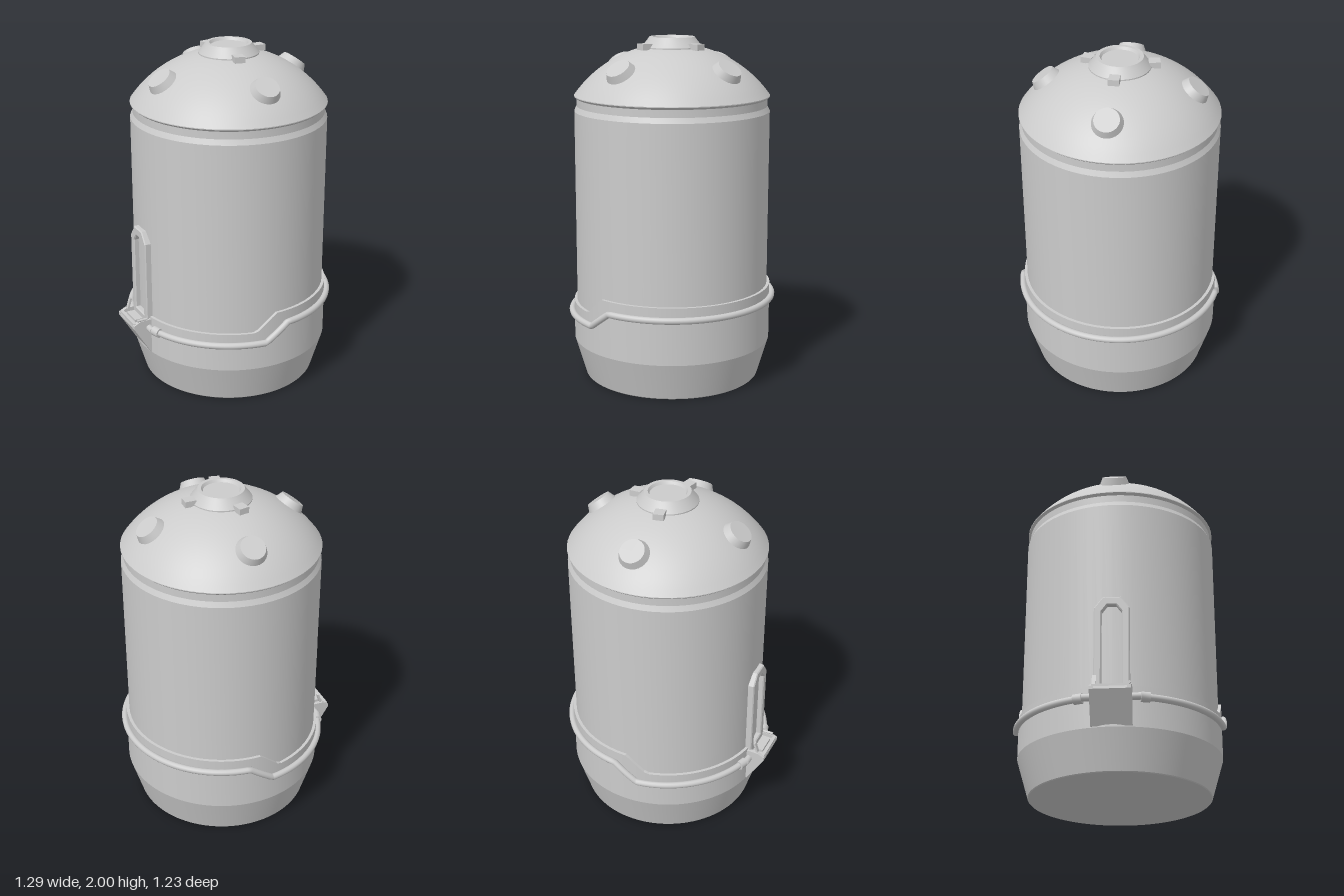
import * as THREE from 'three';
import { toCreasedNormals } from 'three/addons/utils/BufferGeometryUtils.js';

const CX = 0.035; // the tank axis sits slightly off centre, the latch box balances it
const mat = new THREE.MeshStandardMaterial({ color: 0xcccccc, side: THREE.DoubleSide });
const v2 = (p) => new THREE.Vector2(p[0], p[1]);
const ramp = (x, x0, x1, y0, y1) => THREE.MathUtils.mapLinear(THREE.MathUtils.clamp(x, x0, x1), x0, x1, y0, y1);

function add(parent, name, geometry, x = 0, y = 0, z = 0) {
  const mesh = new THREE.Mesh(geometry, mat);
  mesh.name = name;
  mesh.position.set(x, y, z);
  parent.add(mesh);
  return mesh;
}
const lathe = (points, sides = 64) => new THREE.LatheGeometry(points.map(v2), sides);
const crease = (g, angle = 0.3) => toCreasedNormals(g, angle);

// Extrudes an outline drawn in x, y, centred along z
function slab(points, depth, hole, bevel = 0) {
  const shape = new THREE.Shape(points.map(v2));
  if (hole) shape.holes.push(new THREE.Path(hole.map(v2)));
  const g = new THREE.ExtrudeGeometry(shape, {
    depth, bevelEnabled: bevel > 0, bevelSize: bevel, bevelThickness: bevel, bevelSegments: 1,
  });
  return g.translate(0, 0, -depth / 2);
}

export function createModel() {
  const model = new THREE.Group();
  model.name = 'tank';
  const tank = new THREE.Group();
  tank.name = 'tankBody';
  tank.position.x = CX;
  model.add(tank);

  // Base shell: the upper edge steps down towards the latch side
  const base = lathe([[0, 0], [0.512, 0], [0.517, 0.005], [0.582, 0.225], [0.582, 0.56], [0.562, 0.56]], 128);
  const p = base.attributes.position;
  for (let i = 0; i < p.count; i++) {
    if (p.getY(i) > 0.5) p.setY(i, ramp(p.getX(i) + CX, -0.09, 0.03, 0.455, 0.56));
  }
  add(tank, 'baseShell', crease(base, 0.25));

  // Main cylinder with a necked-in top
  add(tank, 'cylinder', crease(lathe([[0.565, 0.3], [0.565, 1.58], [0.551, 1.61], [0.551, 1.66]])));

  // Dome: a shallow spherical cap
  const R = 0.695, domeY = 1.265;
  const dome = [[0.545, 1.648], [0.565, 1.665]];
  for (let i = 0; i <= 16; i++) {
    const a = 0.949 * (1 - i / 16);
    dome.push([R * Math.sin(a), domeY + R * Math.cos(a)]);
  }
  add(tank, 'dome', crease(lathe(dome), 0.35));

  // Top cap with a recessed centre
  add(tank, 'topCap', crease(lathe([
    [0.172, 1.925], [0.172, 1.945], [0.137, 1.99], [0.13, 2], [0.11, 2], [0.1, 1.985], [0, 1.985],
  ], 40), 0.4));

  // Clips around the cap
  [0, 102, -102].forEach((deg) => {
    const a = THREE.MathUtils.degToRad(deg);
    const clip = add(tank, 'capClip', new THREE.BoxGeometry(0.065, 0.035, 0.06),
      0.188 * Math.cos(a), 1.95, -0.188 * Math.sin(a));
    clip.rotation.y = a;
  });

  // Four plugs standing along the dome normal
  const tilt = Math.asin(0.415 / R);
  for (let i = 0; i < 4; i++) {
    const holder = new THREE.Group();
    holder.name = 'domePlug';
    holder.rotation.y = i * Math.PI / 2;
    tank.add(holder);
    const plug = add(holder, 'plug', crease(new THREE.CylinderGeometry(0.07, 0.091, 0.05, 28), 0.5),
      (R + 0.01) * Math.sin(tilt), domeY + (R + 0.01) * Math.cos(tilt), 0);
    plug.rotation.z = -tilt;
  }

  // Pipe hugging the base, following its step, open at the latch
  const gap = 0.27;
  class PipeCurve extends THREE.Curve {
    getPoint(t, out = new THREE.Vector3()) {
      const a = Math.PI + gap + t * (Math.PI * 2 - gap * 2);
      const x = 0.594 * Math.cos(a);
      return out.set(x, ramp(x + CX, -0.04, 0.1, 0.39, 0.49), 0.594 * Math.sin(a));
    }
  }
  const pipe = new PipeCurve();
  add(tank, 'pipe', new THREE.TubeGeometry(pipe, 160, 0.019, 12));

  // Sleeves on both pipe ends
  [0.006, 0.994].forEach((t) => {
    const c = pipe.getPoint(t);
    const sleeve = add(tank, 'pipeSleeve', crease(new THREE.CylinderGeometry(0.028, 0.028, 0.05, 16), 0.6), c.x, c.y, c.z);
    sleeve.quaternion.setFromUnitVectors(new THREE.Vector3(0, 1, 0), pipe.getTangent(t));
  });

  // Latch box on the side: core, cheeks, top frame
  const latch = new THREE.Group();
  latch.name = 'latchBox';
  model.add(latch);
  const core = [[-0.5, 0.23], [-0.542, 0.23], [-0.645, 0.4], [-0.643, 0.415], [-0.5, 0.42]];
  add(latch, 'latchCore', slab(core, 0.18));
  const cheek = [[-0.5, 0.23], [-0.542, 0.23], [-0.645, 0.4], [-0.645, 0.42], [-0.605, 0.44], [-0.5, 0.445]];
  [-1, 1].forEach((s) => {
    add(latch, 'latchCheek', slab(cheek, 0.022), 0, 0, s * 0.1);
    add(latch, 'latchConnector', new THREE.CylinderGeometry(0.02, 0.02, 0.06, 12), -0.55, 0.39, s * 0.13).rotation.x = Math.PI / 2;
  });
  add(latch, 'latchFrontRim', new THREE.BoxGeometry(0.02, 0.022, 0.2), -0.632, 0.418, 0);
  add(latch, 'latchBackRim', new THREE.BoxGeometry(0.03, 0.03, 0.2), -0.54, 0.43, 0);
  add(latch, 'latchPlate', new THREE.BoxGeometry(0.05, 0.016, 0.12), -0.592, 0.426, 0);
  const lever = add(latch, 'latchLever', new THREE.BoxGeometry(0.012, 0.065, 0.022), -0.587, 0.47, -0.09);
  lever.rotation.z = -0.3;
  add(latch, 'latchPin', new THREE.CylinderGeometry(0.008, 0.008, 0.06, 10), -0.59, 0.445, 0.1).rotation.z = Math.PI / 2;

  // Upright gauge frame above the latch box
  const outline = (w, y0, y1, c) => [[-w, y0], [w, y0], [w, y1 - c], [w - c * 0.75, y1], [c * 0.75 - w, y1], [-w, y1 - c]];
  const frame = add(model, 'gaugeFrame',
    slab(outline(0.092, 0.42, 0.972, 0.06), 0.04, outline(0.062, 0.45, 0.935, 0.045), 0.006), -0.532, 0, 0);
  frame.rotation.y = -Math.PI / 2;

  return model;
}
